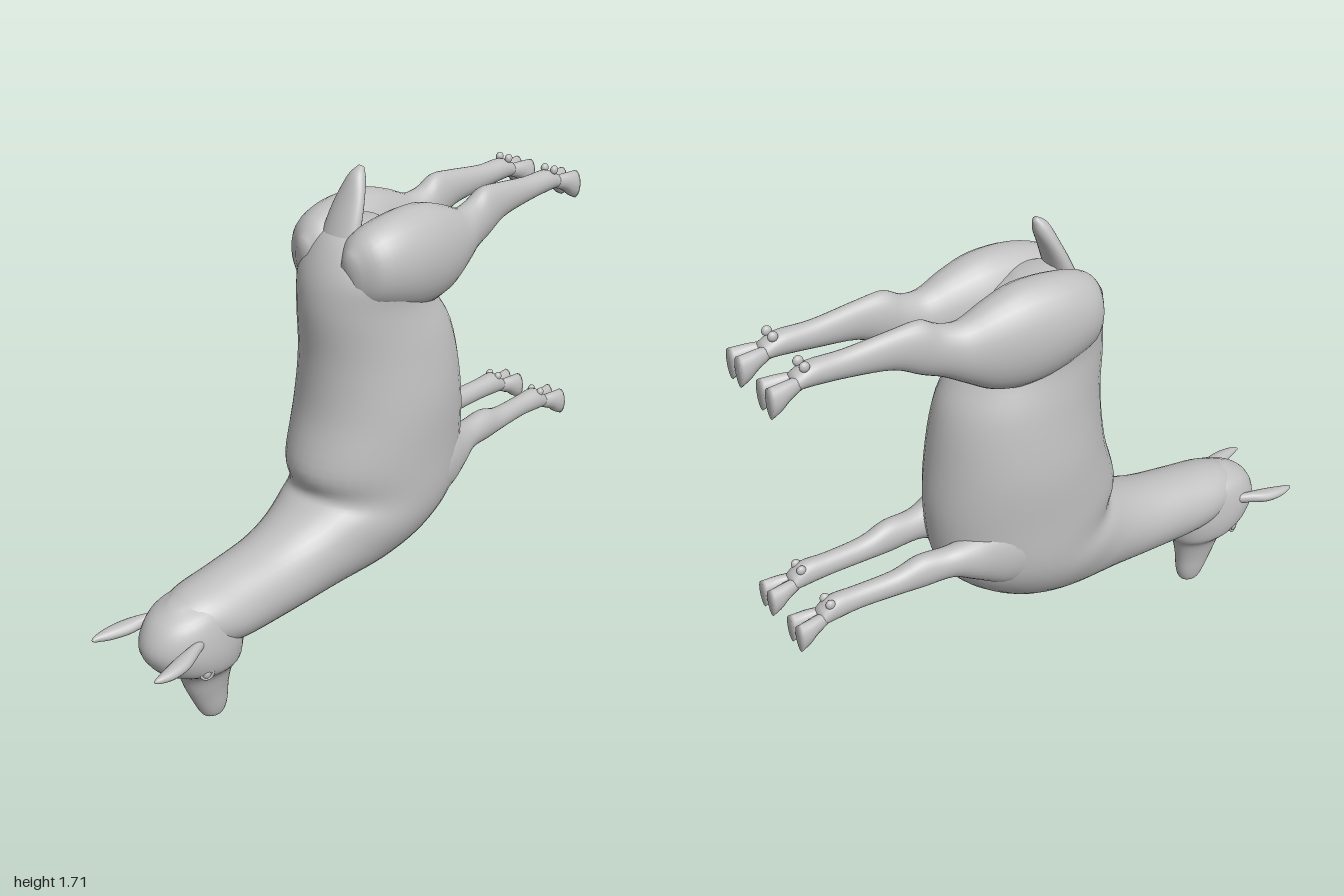
import * as THREE from 'three';

const grey = new THREE.MeshStandardMaterial({ color: 0xbfbfbf });
grey.name = 'plain grey';

// Smooth skin over oval sections: [z, y of one edge, z, y of other edge, half width, centre x]
function loft(name, sections, side = 1, steps = 4, sides = 28) {
  const edgeA = new THREE.CatmullRomCurve3(sections.map(s => new THREE.Vector3((s[5] || 0) * side, s[1], s[0])), false, 'catmullrom', 0.5);
  const edgeB = new THREE.CatmullRomCurve3(sections.map(s => new THREE.Vector3(s[4], s[3], s[2])), false, 'catmullrom', 0.5);
  const n = (sections.length - 1) * steps;
  const pos = [], idx = [], centres = [];
  let turn = 0;
  for (let i = 0; i <= n; i++) {
    const a = edgeA.getPoint(i / n), b = edgeB.getPoint(i / n);
    const w = Math.max(b.x, 0.004);
    const cy = (a.y + b.y) / 2, cz = (a.z + b.z) / 2, vy = (a.y - b.y) / 2, vz = (a.z - b.z) / 2;
    centres.push([a.x, cy, cz]);
    if (i) turn += -vz * (cy - centres[i - 1][1]) + vy * (cz - centres[i - 1][2]);
    for (let j = 0; j < sides; j++) {
      const t = j / sides * Math.PI * 2, c = Math.cos(t), s = Math.sin(t);
      pos.push(a.x + w * c, cy + vy * s, cz + vz * s);
    }
  }
  const tri = (a, b, c) => turn > 0 ? idx.push(a, b, c) : idx.push(a, c, b);
  const first = pos.length / 3, last = first + 1;
  pos.push(...centres[0], ...centres[n]);
  for (let j = 0; j < sides; j++) {
    const k = (j + 1) % sides;
    for (let i = 0; i < n; i++) {
      const p = i * sides, q = p + sides;
      tri(p + j, p + k, q + k);
      tri(p + j, q + k, q + j);
    }
    tri(first, k, j);
    tri(last, n * sides + j, n * sides + k);
  }
  const g = new THREE.BufferGeometry();
  g.setAttribute('position', new THREE.Float32BufferAttribute(pos, 3));
  g.setIndex(idx);
  g.computeVertexNormals();
  const mesh = new THREE.Mesh(g, grey);
  mesh.name = name;
  return mesh;
}

function ball(name, x, y, z, rx, ry, rz) {
  const mesh = new THREE.Mesh(new THREE.SphereGeometry(1, 16, 12), grey);
  mesh.name = name;
  mesh.position.set(x, y, z);
  mesh.scale.set(rx, ry, rz);
  return mesh;
}

// Cloven hoof with dewclaws; y is the height of its back edge
function hoof(name, x, y) {
  const g = new THREE.Group();
  g.name = name;
  for (const d of [-1, 1]) {
    g.add(loft('hoofHalf', [
      [-0.90, y - 0.002, -0.90, y - 0.045, 0.018, x + d * 0.015],
      [-0.94, y, -0.94, y - 0.062, 0.023, x + d * 0.022],
      [-0.97, y, -0.97, y - 0.085, 0.025, x + d * 0.026],
      [-1.0, y, -1.0, y - 0.1, 0.024, x + d * 0.029],
    ], 1, 3, 14));
    g.add(ball('dewclaw', x + d * 0.02, y + 0.024, -0.882, 0.012, 0.016, 0.016));
  }
  return g;
}

export function createModel() {
  const model = new THREE.Group();
  model.name = 'deer';

  // Trunk and neck, from rump to nape
  model.add(loft('bodyAndNeck', [
    [0.02, 1.545, -0.10, 1.54, 0.05],
    [0.10, 1.50, -0.20, 1.48, 0.14],
    [0.16, 1.40, -0.26, 1.38, 0.20],
    [0.18, 1.28, -0.30, 1.28, 0.20],
    [0.17, 1.10, -0.39, 1.15, 0.225],
    [0.185, 0.92, -0.435, 0.95, 0.25],
    [0.235, 0.74, -0.455, 0.75, 0.25],
    [0.215, 0.65, -0.42, 0.55, 0.247],
    [0.26, 0.615, -0.28, 0.41, 0.23],
    [0.35, 0.575, -0.10, 0.325, 0.19],
    [0.45, 0.55, 0.15, 0.295, 0.155],
    [0.60, 0.53, 0.38, 0.28, 0.14],
    [0.75, 0.505, 0.56, 0.28, 0.132],
    [0.84, 0.45, 0.68, 0.30, 0.10],
  ], 1, 5, 40));

  // Head, from crown to muzzle
  model.add(loft('head', [
    [0.80, 0.492, 0.72, 0.50, 0.03],
    [0.88, 0.44, 0.60, 0.47, 0.105],
    [0.915, 0.36, 0.55, 0.35, 0.132],
    [0.875, 0.28, 0.555, 0.25, 0.123],
    [0.79, 0.215, 0.585, 0.20, 0.082],
    [0.755, 0.13, 0.60, 0.13, 0.06],
    [0.72, 0.05, 0.607, 0.055, 0.046],
    [0.70, 0.015, 0.62, 0.015, 0.033],
    [0.68, 0.002, 0.64, 0.002, 0.015],
  ], 1, 5, 32));

  // Upturned tail
  model.add(loft('tail', [
    [0.10, 1.48, 0.02, 1.46, 0.075],
    [0.07, 1.55, 0.0, 1.54, 0.068],
    [0.035, 1.62, -0.02, 1.60, 0.055],
    [0.0, 1.685, -0.045, 1.66, 0.032],
    [-0.035, 1.71, -0.05, 1.70, 0.01],
  ]));

  for (const side of [1, -1]) {
    const label = side > 0 ? 'left' : 'right';

    // Haunch and hind leg
    model.add(loft(label + 'HindLeg', [
      [0.13, 1.47, 0.11, 1.34, 0.03, 0.10],
      [0.07, 1.54, 0.06, 1.30, 0.095, 0.11],
      [-0.04, 1.575, -0.06, 1.26, 0.115, 0.12],
      [-0.18, 1.58, -0.18, 1.24, 0.115, 0.118],
      [-0.29, 1.55, -0.29, 1.26, 0.095, 0.118],
      [-0.38, 1.515, -0.38, 1.31, 0.07, 0.115],
      [-0.45, 1.525, -0.45, 1.35, 0.055, 0.108],
      [-0.51, 1.555, -0.52, 1.38, 0.048, 0.107],
      [-0.60, 1.55, -0.61, 1.425, 0.038, 0.105],
      [-0.75, 1.535, -0.75, 1.447, 0.034, 0.10],
      [-0.86, 1.535, -0.87, 1.46, 0.038, 0.10],
      [-0.92, 1.51, -0.92, 1.46, 0.034, 0.10],
    ], side));
    model.add(hoof(label + 'HindHoof', 0.10 * side, 1.51));

    // Shoulder and front leg
    model.add(loft(label + 'FrontLeg', [
      [0.0, 0.74, 0.0, 0.58, 0.03, 0.195],
      [-0.15, 0.76, -0.15, 0.54, 0.055, 0.18],
      [-0.28, 0.775, -0.28, 0.53, 0.065, 0.16],
      [-0.38, 0.735, -0.38, 0.57, 0.06, 0.135],
      [-0.46, 0.715, -0.46, 0.605, 0.048, 0.118],
      [-0.56, 0.72, -0.56, 0.605, 0.044, 0.11],
      [-0.65, 0.695, -0.65, 0.61, 0.037, 0.105],
      [-0.78, 0.693, -0.78, 0.615, 0.034, 0.10],
      [-0.87, 0.695, -0.87, 0.612, 0.038, 0.10],
      [-0.92, 0.66, -0.92, 0.61, 0.034, 0.10],
    ], side));
    model.add(hoof(label + 'FrontHoof', 0.10 * side, 0.66));

    // Leaf-shaped ear
    model.add(loft(label + 'Ear', [
      [0.76, 0.405, 0.76, 0.375, 0.012, 0.10],
      [0.82, 0.408, 0.82, 0.368, 0.02, 0.122],
      [0.88, 0.404, 0.88, 0.36, 0.03, 0.138],
      [0.94, 0.399, 0.94, 0.362, 0.024, 0.149],
      [0.985, 0.393, 0.985, 0.372, 0.011, 0.153],
      [1.0, 0.386, 1.0, 0.38, 0.004, 0.152],
    ], side, 4, 16));

    // Eye with a lid ring
    model.add(ball(label + 'Eye', 0.106 * side, 0.272, 0.765, 0.016, 0.021, 0.017));
    const lid = new THREE.Mesh(new THREE.TorusGeometry(0.02, 0.005, 8, 20), grey);
    lid.name = label + 'Eyelid';
    lid.position.set(0.112 * side, 0.272, 0.767);
    lid.rotation.y = side * 1.2;
    model.add(lid);
  }
  return model;
}
